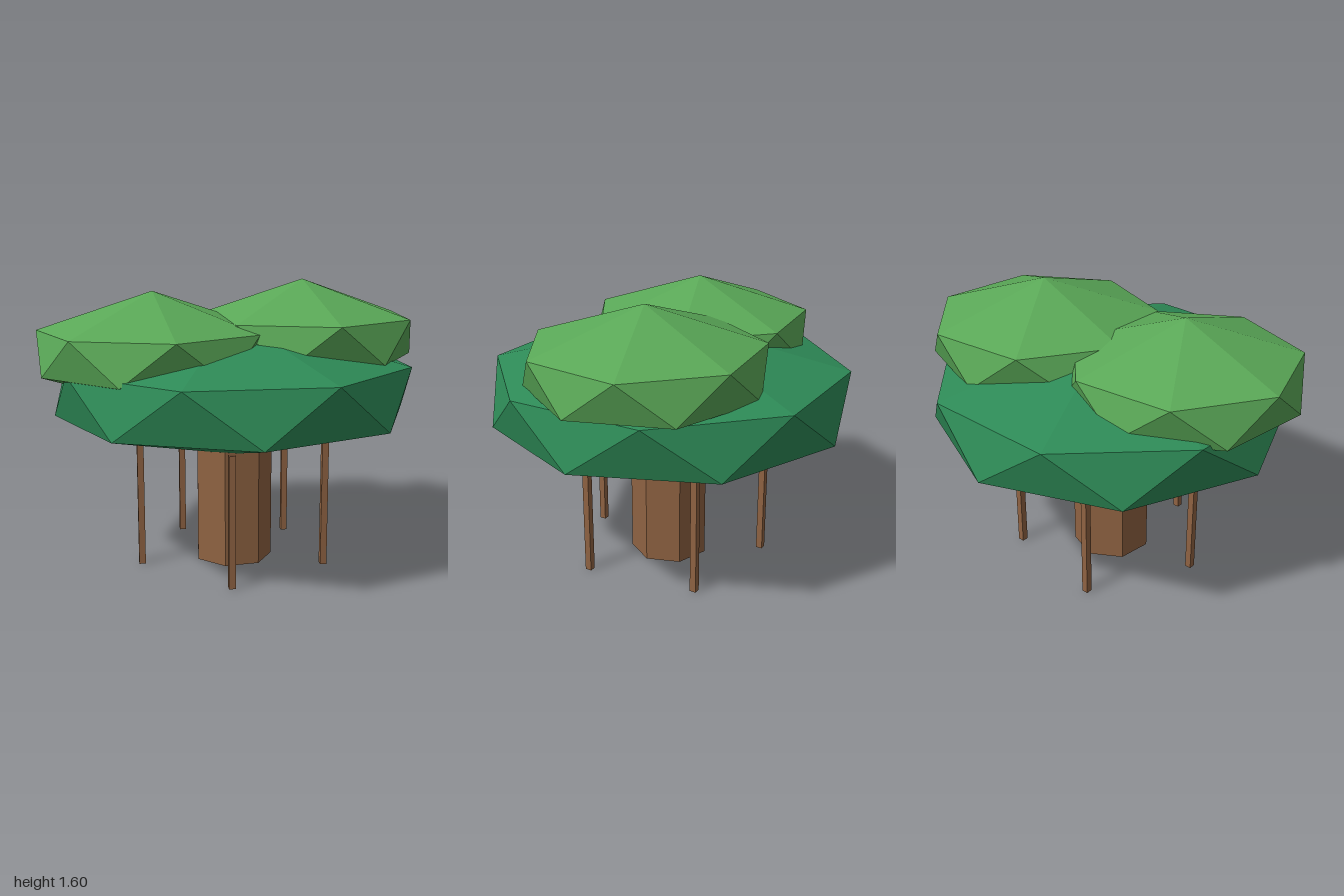
import * as THREE from 'three';

const mat = (color) => new THREE.MeshStandardMaterial({ color, flatShading: true });

// Faceted leaf mass: two staggered rings of n corners, closed by a shallow cone above and below
function leafMass(n, radius, ringHalf, apexHalf, phase) {
  const ring = (offset, y) => Array.from({ length: n }, (_, i) => {
    const a = phase + ((i + offset) / n) * Math.PI * 2;
    return new THREE.Vector3(radius * Math.cos(a), y, radius * Math.sin(a));
  });
  const up = ring(0, ringHalf), low = ring(0.5, -ringHalf);
  const top = new THREE.Vector3(0, apexHalf, 0), bottom = new THREE.Vector3(0, -apexHalf, 0);
  const points = [];
  for (let i = 0; i < n; i++) {
    const j = (i + 1) % n;
    points.push(top, up[j], up[i], up[i], up[j], low[i]);
    points.push(up[j], low[j], low[i], bottom, low[i], low[j]);
  }
  const geometry = new THREE.BufferGeometry().setFromPoints(points);
  geometry.computeVertexNormals();
  return geometry;
}

export function createModel() {
  const tree = new THREE.Group();
  tree.name = 'tree';
  const darkLeaf = mat(0x2e8b57), lightLeaf = mat(0x5aa857), bark = mat(0x8f6342);

  const add = (name, geometry, material, x, y, z) => {
    const mesh = new THREE.Mesh(geometry, material);
    mesh.name = name;
    mesh.position.set(x, y, z);
    tree.add(mesh);
    return mesh;
  };

  // Foliage
  add('mainCanopy', leafMass(8, 1, 0.143, 0.4, Math.PI / 8), darkLeaf, 0, 1.003, 0);
  const crown = leafMass(7, 0.635, 0.11, 0.32, Math.PI);
  add('frontCrown', crown, lightLeaf, 0.365, 1.275, 0.225);
  add('backCrown', crown, lightLeaf, -0.365, 1.228, -0.275);

  // Trunk, with one corner towards +x
  const trunk = new THREE.CylinderGeometry(0.225, 0.225, 0.73, 7).rotateY(Math.PI / 2);
  add('trunk', trunk, bark, 0, 0.365, 0);

  // Five hanging roots around the trunk
  const root = new THREE.CylinderGeometry(0.026, 0.026, 0.73, 4);
  for (let i = 0; i < 5; i++) {
    const a = (i / 5) * Math.PI * 2;
    add('aerialRoot' + (i + 1), root, bark, 0.543 * Math.cos(a), 0.365, 0.543 * Math.sin(a));
  }
  return tree;
}
